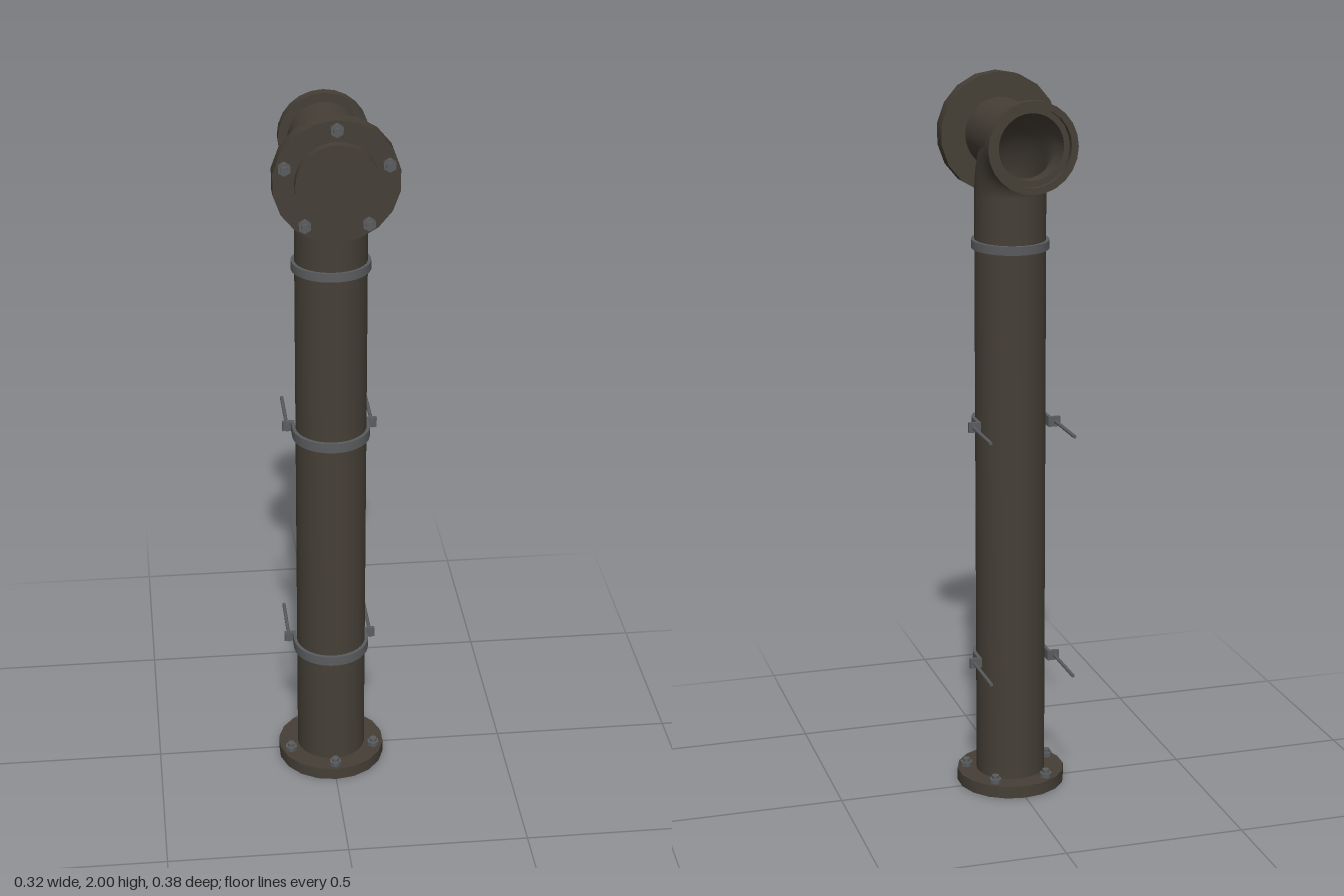
import * as THREE from 'three';
import { toCreasedNormals } from 'three/addons/utils/BufferGeometryUtils.js';

const iron = new THREE.MeshStandardMaterial({ color: 0x453f36 });
iron.name = 'darkIron';
const ironOpen = new THREE.MeshStandardMaterial({ color: 0x453f36, side: THREE.DoubleSide });
ironOpen.name = 'darkIronOpen';
const steel = new THREE.MeshStandardMaterial({ color: 0x5a5c5e });
steel.name = 'greySteel';

const PIPE_Z = 0.022;   // axis of the standing pipe
const HEAD_Y = 1.836;   // axis of the head pipe
const R = 0.097, BORE = 0.088, BEND = 0.15;
const BEND_Z = PIPE_Z - BEND, BEND_Y = HEAD_Y - BEND;

function add(parent, name, geometry, material, x = 0, y = 0, z = 0) {
  const mesh = new THREE.Mesh(geometry, material);
  mesh.name = name;
  mesh.position.set(x, y, z);
  parent.add(mesh);
  return mesh;
}

// Closed profile of [radius, height] pairs turned about y
function turned(profile, sides) {
  const pts = [...profile, profile[0]].map(([r, y]) => new THREE.Vector2(r, y));
  return toCreasedNormals(new THREE.LatheGeometry(pts, sides), 0.6);
}

const ring = (inner, outer, y0, y1, sides = 32) =>
  turned([[outer, y0], [outer, y1], [inner, y1], [inner, y0]], sides);

// Flange with a recessed mouth at y = 0
const socketFlange = (outer, mouth, height, depth, sides) =>
  turned([[outer, 0], [outer, height], [BORE, height], [BORE, depth], [mouth, depth], [mouth, 0]], sides);

// Five nuts on studs, standing on the plane y = 0
function boltCircle(name, radius, firstAngle) {
  const group = new THREE.Group();
  group.name = name;
  for (let i = 0; i < 5; i++) {
    const a = firstAngle + i * Math.PI * 2 / 5;
    const x = Math.sin(a) * radius, z = Math.cos(a) * radius;
    add(group, 'nut', new THREE.CylinderGeometry(0.018, 0.018, 0.012, 6), steel, x, 0.006, z);
    add(group, 'stud', new THREE.CylinderGeometry(0.01, 0.01, 0.022, 10), steel, x, 0.011, z);
  }
  return group;
}

// U-shaped strap with ears, and a rod through each ear
function wallClamp(y) {
  const group = new THREE.Group();
  group.name = 'wallClamp';
  group.position.set(0, y, PIPE_Z);
  const s = new THREE.Shape();
  s.moveTo(0.13, -0.045);
  s.lineTo(0.13, -0.035);
  s.lineTo(0.106, -0.035);
  s.lineTo(0.106, 0);
  s.absarc(0, 0, 0.106, 0, Math.PI, false);
  s.lineTo(-0.106, -0.035);
  s.lineTo(-0.13, -0.035);
  s.lineTo(-0.13, -0.045);
  s.lineTo(-0.0965, -0.045);
  s.lineTo(-0.0965, 0);
  s.absarc(0, 0, 0.0965, Math.PI, 0, true);
  s.lineTo(0.0965, -0.045);
  const strap = new THREE.ExtrudeGeometry(s, { depth: 0.028, bevelEnabled: false, curveSegments: 24 });
  strap.translate(0, 0, -0.014).rotateX(Math.PI / 2);
  add(group, 'strap', toCreasedNormals(strap, 0.6), steel);
  for (const side of [-1, 1]) {
    const rod = new THREE.CylinderGeometry(0.005, 0.005, 0.182, 10).rotateX(Math.PI / 2);
    add(group, 'rod', rod, steel, side * 0.117, 0, -0.121);
    const nut = new THREE.CylinderGeometry(0.012, 0.012, 0.008, 6).rotateX(Math.PI / 2);
    add(group, 'rodNut', nut, steel, side * 0.117, 0, -0.031);
  }
  return group;
}

export function createModel() {
  const model = new THREE.Group();
  model.name = 'standpipe';

  // Standing pipe and its foot
  add(model, 'standingPipe', ring(BORE, R, 0.02, BEND_Y), iron, 0, 0, PIPE_Z);
  add(model, 'baseFlange', socketFlange(0.152, 0.124, 0.035, 0.022, 18), iron, 0, 0, PIPE_Z);
  const baseBolts = boltCircle('baseBolts', 0.126, 0);
  baseBolts.position.set(0, 0.035, PIPE_Z);
  model.add(baseBolts);

  // Elbow turning back into the head pipe, with its bore
  for (const [name, r, mat] of [['elbow', R, iron], ['elbowBore', BORE, ironOpen]]) {
    const bend = new THREE.TorusGeometry(BEND, r, 32, 14, Math.PI / 2).rotateY(-Math.PI / 2);
    add(model, name, bend, mat, 0, BEND_Y, BEND_Z);
  }

  // Head: built along y, then laid so that its top faces the front
  const head = new THREE.Group();
  head.name = 'head';
  head.position.y = HEAD_Y;
  head.rotation.x = Math.PI / 2;
  model.add(head);
  add(head, 'headPipe', new THREE.CylinderGeometry(R, R, 0.29, 32, 1, true), iron, 0, -0.02, 0);
  add(head, 'mouthBore', new THREE.CylinderGeometry(BORE, BORE, 0.05, 32, 1, true), ironOpen, 0, -0.147, 0);
  add(head, 'mouthFlange', socketFlange(0.122, 0.104, 0.03, 0.02, 24), iron, 0, -0.19, 0);
  add(head, 'frontFlange', toCreasedNormals(new THREE.CylinderGeometry(0.165, 0.165, 0.046, 18), 0.6), iron, 0, 0.142, 0);
  add(head, 'blindCover', toCreasedNormals(new THREE.CylinderGeometry(0.108, 0.108, 0.03, 32), 0.6), iron, 0, 0.175, 0);
  const headBolts = boltCircle('headBolts', 0.14, Math.PI);
  headBolts.position.y = 0.165;
  head.add(headBolts);

  // Collar under the elbow, slightly tilted
  const collar = add(model, 'collar', ring(0.0965, 0.106, -0.012, 0.012), steel, 0, 1.553, PIPE_Z);
  collar.rotation.x = -0.04;

  for (const y of [0.375, 1.058]) model.add(wallClamp(y));
  return model;
}
